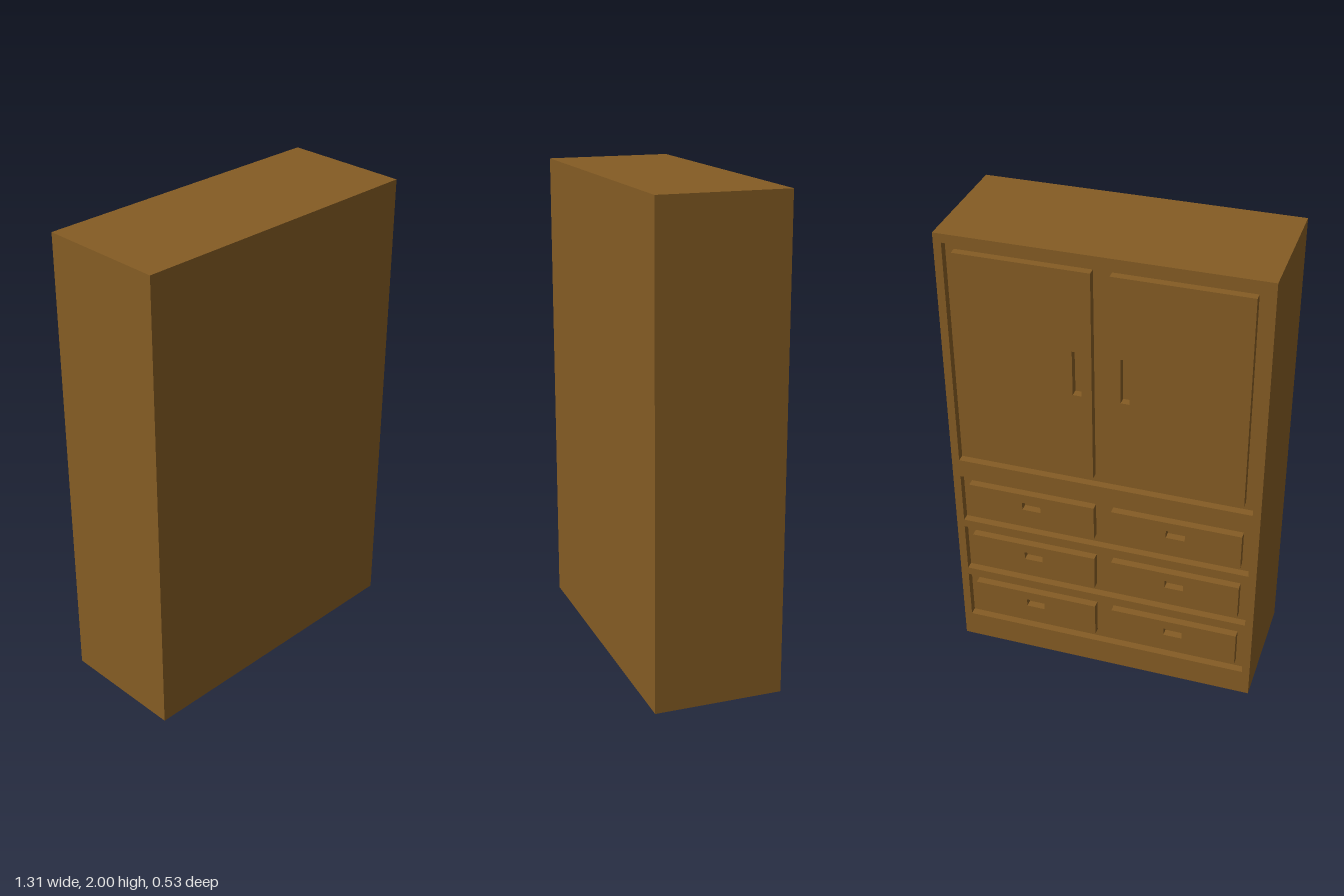
import * as THREE from 'three';

const W = 0.653, D = 0.267, H = 2;   // half width, half depth, height
const RELIEF = 0.033;                // depth of the recesses around doors and drawers
const GAP = 0.036;                   // groove between frame and panels
const OPEN_X = 0.62;                 // half width of the framed openings

function rect(path, x0, x1, y0, y1) {
  path.moveTo(x0, y0);
  path.lineTo(x1, y0);
  path.lineTo(x1, y1);
  path.lineTo(x0, y1);
  path.closePath();
  return path;
}

// Flat plate with rectangular cut-outs, lying on the -z side
function plate(name, outer, holes, material) {
  const shape = rect(new THREE.Shape(), ...outer);
  for (const h of holes) shape.holes.push(rect(new THREE.Path(), ...h));
  const geometry = new THREE.ExtrudeGeometry(shape, { depth: RELIEF, bevelEnabled: false });
  const mesh = new THREE.Mesh(geometry, material);
  mesh.name = name;
  mesh.position.z = -D;
  return mesh;
}

export function createModel() {
  const model = new THREE.Group();
  model.name = 'cabinet';
  const wood = new THREE.MeshStandardMaterial({ color: 0x855c24 });
  wood.name = 'brown wood';

  // Solid carcass behind the frame
  const body = new THREE.Mesh(new THREE.BoxGeometry(2 * W, H, 2 * D - RELIEF), wood);
  body.name = 'carcass';
  body.position.set(0, H / 2, RELIEF / 2);
  model.add(body);

  // Openings as [bottom, top]: door bay, then three drawer rows
  const doorBay = [0.965, 1.963];
  const drawerRows = [0, 1, 2].map((i) => [0.652 - i * 0.267, 0.883 - i * 0.267]);

  // Frame with rails between the openings
  const openings = [doorBay, ...drawerRows].map(([b, t]) => [-OPEN_X, OPEN_X, b, t]);
  model.add(plate('frame', [-W, W, 0, H], openings, wood));

  for (const side of [-1, 1]) {
    const label = side > 0 ? 'left' : 'right';
    const span = (a, b) => (side > 0 ? [a, b] : [-b, -a]);
    const panelX = span(0.037, OPEN_X - GAP);

    // Door with an upright finger slot near the middle
    model.add(plate(`${label}Door`,
      [...panelX, doorBay[0] + GAP, doorBay[1] - GAP],
      [[...span(0.079, 0.115), 1.386, 1.582]], wood));

    // Drawers with a small level finger slot
    drawerRows.forEach(([b, t], i) => {
      const slotY = (b + t) / 2 + 0.02;
      model.add(plate(`${label}Drawer${i + 1}`,
        [...panelX, b + GAP, t - GAP],
        [[...span(0.27, 0.35), slotY - 0.018, slotY + 0.018]], wood));
    });
  }
  return model;
}
